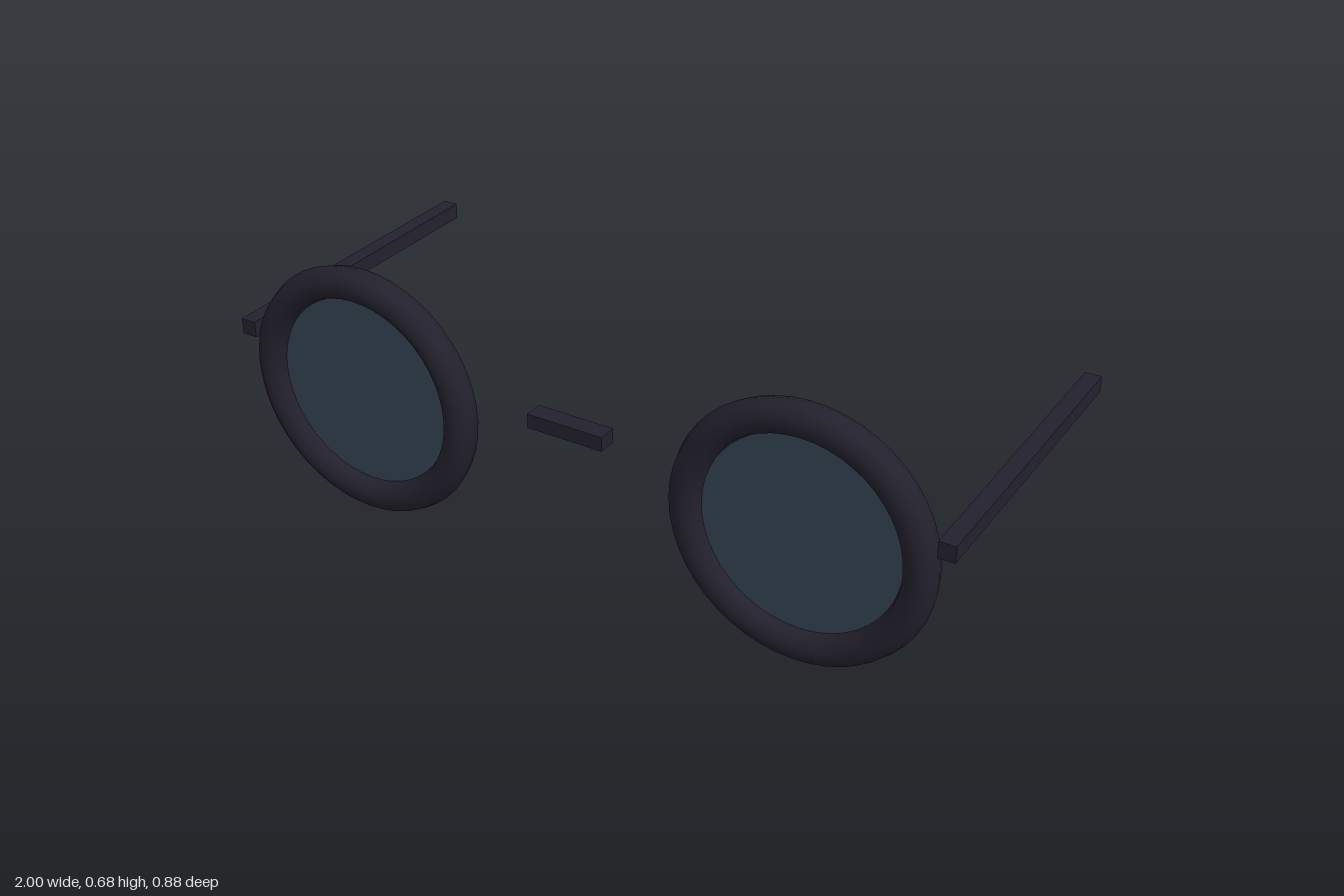
import * as THREE from 'three';

export function createModel() {
  const model = new THREE.Group();
  model.name = 'roundGlasses';

  const frame = new THREE.MeshStandardMaterial({ color: 0x23212d });
  frame.name = 'dark frame';
  const glass = new THREE.MeshStandardMaterial({ color: 0x344250 });
  glass.name = 'tinted lens';

  const add = (name, geometry, material, x, y, z) => {
    const mesh = new THREE.Mesh(geometry, material);
    mesh.name = name;
    mesh.position.set(x, y, z);
    model.add(mesh);
    return mesh;
  };

  // Rim, lens and temple arm, mirrored to both sides
  const rimGeo = new THREE.TorusGeometry(0.297, 0.0425, 10, 48);
  const lensGeo = new THREE.CylinderGeometry(0.275, 0.275, 0.008, 48).rotateX(Math.PI / 2);
  const templeGeo = new THREE.BoxGeometry(0.043, 0.043, 0.866);
  for (const [side, s] of [['left', 1], ['right', -1]]) {
    add(side + 'Rim', rimGeo, frame, s * 0.62, 0.341, 0.402);
    add(side + 'Lens', lensGeo, glass, s * 0.62, 0.341, 0.402);
    add(side + 'Temple', templeGeo, frame, s * 0.9785, 0.431, -0.009);
  }

  // Bridge floating between the rims
  add('bridge', new THREE.BoxGeometry(0.21, 0.038, 0.05), frame, 0, 0.422, 0.4);

  return model;
}
